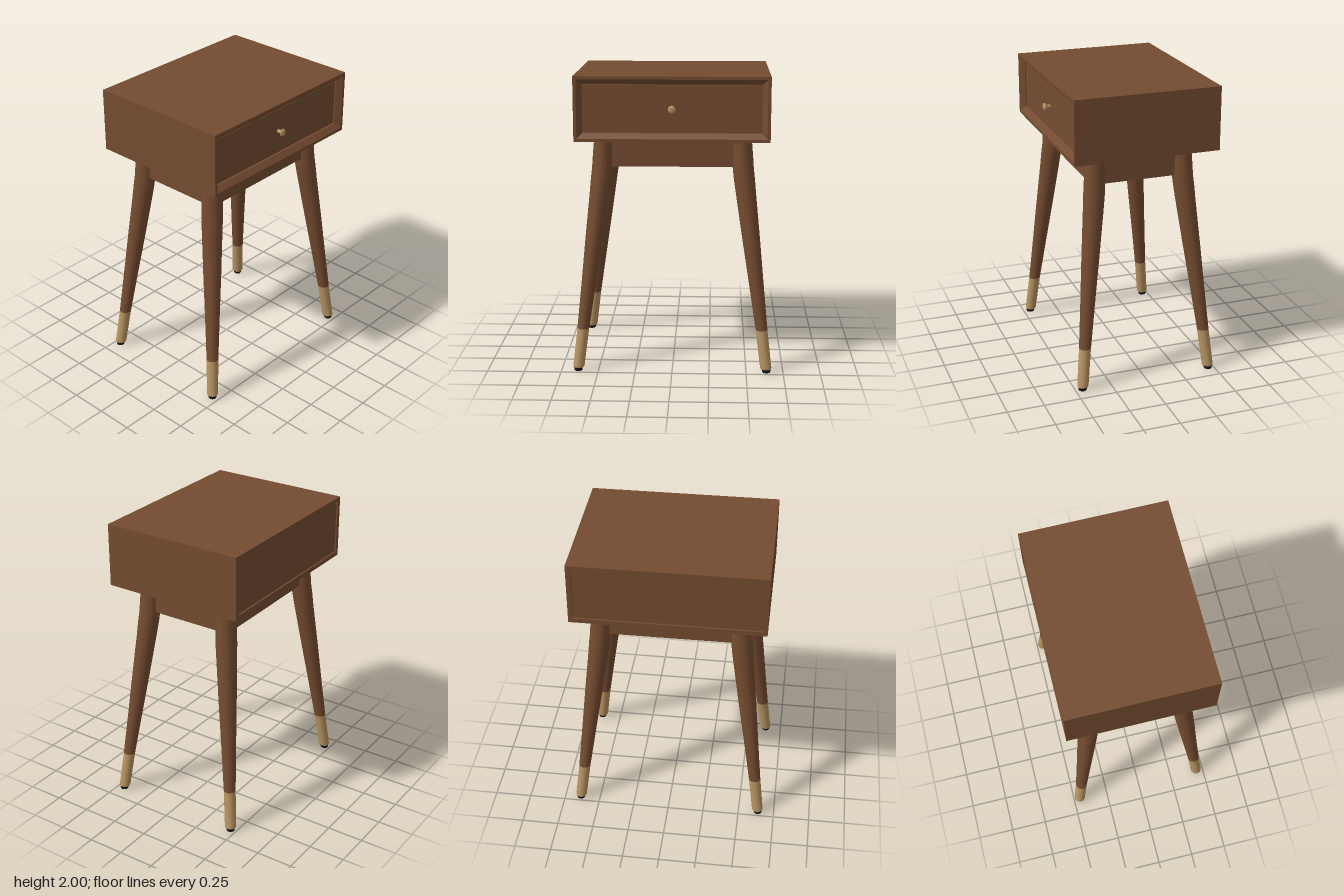
import * as THREE from 'three';

const mat = (name, color) => new THREE.MeshStandardMaterial({ name, color });

// Flat-faced rectangular shell through rings [inset, z], listed front to back, capped at both ends
function rectShell(w, h, rings) {
  const pos = [];
  const corners = rings.map(([inset, z]) => {
    const x = w / 2 - inset, y = h / 2 - inset;
    return [[-x, -y, z], [x, -y, z], [x, y, z], [-x, y, z]];
  });
  const quad = (a, b, c, d) => pos.push(...a, ...b, ...c, ...a, ...c, ...d);
  for (let i = 0; i < corners.length - 1; i++) {
    const a = corners[i], b = corners[i + 1];
    for (let j = 0; j < 4; j++) {
      const k = (j + 1) % 4;
      quad(a[j], b[j], b[k], a[k]);
    }
  }
  quad(...corners[0]);
  quad(...[...corners[corners.length - 1]].reverse());
  const g = new THREE.BufferGeometry();
  g.setAttribute('position', new THREE.Float32BufferAttribute(pos, 3));
  g.computeVertexNormals();
  return g;
}

// Leg axis: height, x, z
const AXIS = [[0, 0.637, 0.455], [0.29, 0.602, 0.424], [1.2, 0.488, 0.323], [1.37, 0.468, 0.306], [1.58, 0.457, 0.298]];

function axisAt(y) {
  let i = 0;
  while (i < AXIS.length - 2 && y > AXIS[i + 1][0]) i++;
  const [a, b] = [AXIS[i], AXIS[i + 1]];
  const t = (y - a[0]) / (b[0] - a[0]);
  return [a[1] + (b[1] - a[1]) * t, a[2] + (b[2] - a[2]) * t];
}

// Turned profile [radius, height] sheared along the splayed axis
function splayed(profile, sx, sz) {
  const g = new THREE.LatheGeometry(profile.map(([r, y]) => new THREE.Vector2(r, y)), 28);
  const p = g.attributes.position;
  for (let i = 0; i < p.count; i++) {
    const [x, z] = axisAt(p.getY(i));
    p.setX(i, p.getX(i) + sx * x);
    p.setZ(i, p.getZ(i) + sz * z);
  }
  g.computeVertexNormals();
  return g;
}

export function createModel() {
  const wood = mat('walnut', 0x744b30);
  const brass = mat('brass', 0xb89462);
  const rubber = mat('black rubber', 0x161616);

  const table = new THREE.Group();
  table.name = 'nightstand';
  const add = (name, geometry, material, x = 0, y = 0, z = 0, parent = table) => {
    const m = new THREE.Mesh(geometry, material);
    m.name = name;
    m.position.set(x, y, z);
    parent.add(m);
    return m;
  };

  // Cabinet with a bevelled front frame and a shallow back recess
  add('cabinet', rectShell(1.274, 0.425, [
    [0.053, 0.43], [0.053, 0.455], [0.02, 0.487], [0, 0.487],
    [0, -0.495], [0.03, -0.495], [0.03, -0.48],
  ]), wood, 0, 1.7875, 0);
  add('drawerFront', new THREE.BoxGeometry(1.156, 0.305, 0.03), wood, 0, 1.7875, 0.435);
  add('backPanel', new THREE.BoxGeometry(1.206, 0.357, 0.02), wood, 0, 1.7875, -0.478);

  // Drawer knob
  const knob = new THREE.LatheGeometry([
    [0.013, 0], [0.011, 0.022], [0.026, 0.034], [0.025, 0.04], [0.016, 0.047], [0, 0.047],
  ].map(([r, y]) => new THREE.Vector2(r, y)), 16);
  knob.rotateX(Math.PI / 2);
  add('knob', knob, brass, 0, 1.787, 0.45);

  // Apron rails between the legs
  const under = new THREE.Group();
  under.name = 'base';
  under.position.z = -0.004;
  table.add(under);
  for (const s of [-1, 1]) {
    add(s > 0 ? 'frontApron' : 'backApron', new THREE.BoxGeometry(0.82, 0.19, 0.05), wood, 0, 1.48, s * 0.305, under);
    add(s > 0 ? 'leftApron' : 'rightApron', new THREE.BoxGeometry(0.05, 0.19, 0.49), wood, s * 0.465, 1.48, 0, under);
  }

  // Splayed legs with brass ferrules and rubber feet
  const legProfile = [[0.04, 0.29], [0.049, 0.6], [0.059, 0.9], [0.067, 1.2], [0.07, 1.3], [0.07, 1.37], [0.068, 1.46], [0.064, 1.576]];
  const ferruleProfile = [[0, 0.022], [0.034, 0.022], [0.034, 0.022], [0.038, 0.03], [0.038, 0.03], [0.04, 0.29]];
  for (const sx of [-1, 1]) for (const sz of [-1, 1]) {
    const leg = new THREE.Group();
    leg.name = (sz > 0 ? 'front' : 'back') + (sx > 0 ? 'Left' : 'Right') + 'Leg';
    under.add(leg);
    add('legShaft', splayed(legProfile, sx, sz), wood, 0, 0, 0, leg);
    add('ferrule', splayed(ferruleProfile, sx, sz), brass, 0, 0, 0, leg);
    add('footPad', new THREE.CylinderGeometry(0.03, 0.027, 0.024, 20), rubber, sx * 0.637, 0.012, sz * 0.455, leg);
  }
  return table;
}
